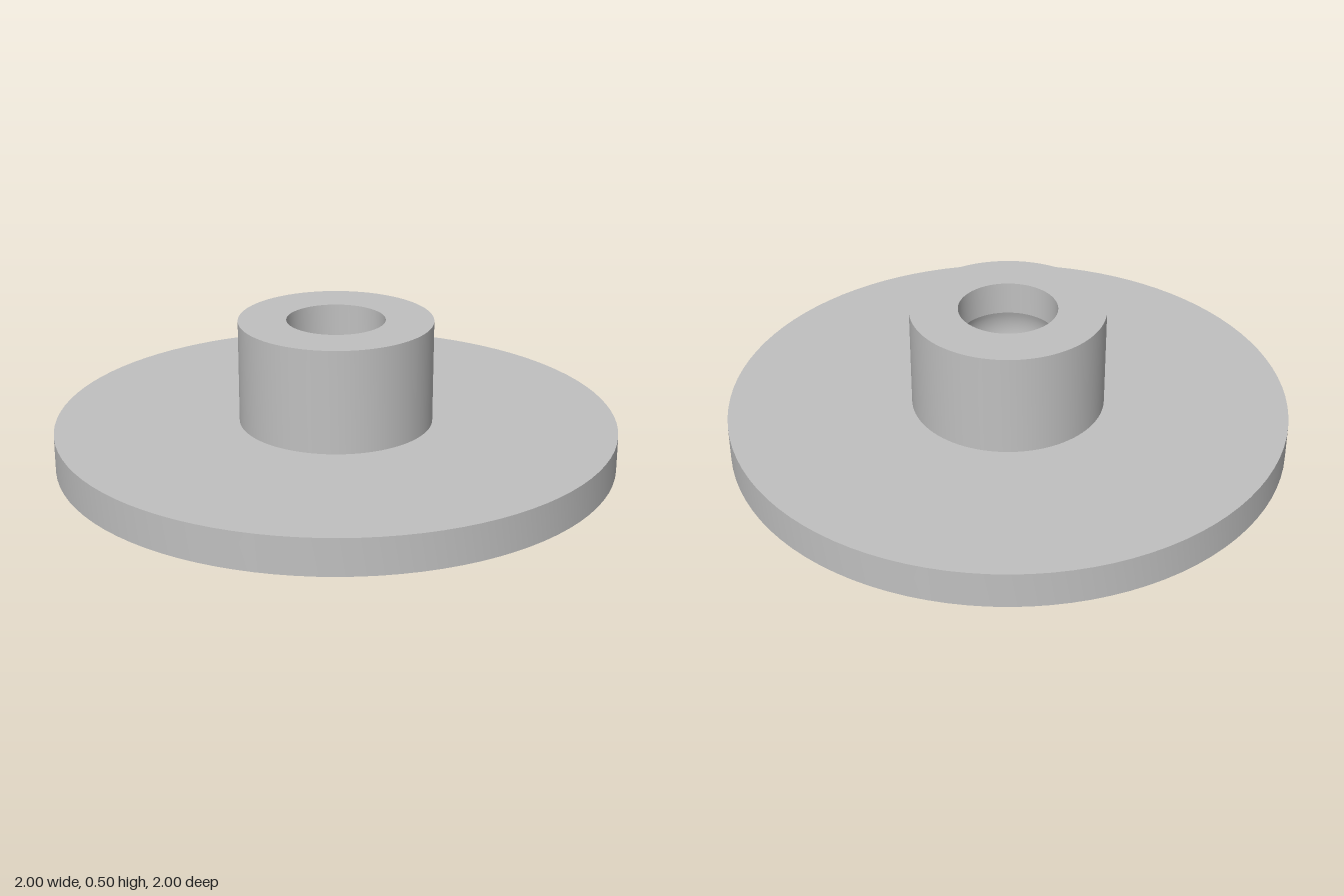
import * as THREE from 'three';
import { toCreasedNormals } from 'three/addons/utils/BufferGeometryUtils.js';

const SEGMENTS = 96;
const PLATE_RADIUS = 1, PLATE_TOP = 0.13;
const HUB_RADIUS = 0.345, HUB_TOP = 0.5;
const BORE_RADIUS = 0.175, BORE_BOTTOM = 0.38;
const SOCKET_RADIUS = 0.19;

// Turned part from [radius, height] pairs, listed up the outside
function turned(name, profile, material) {
  const points = profile.map(([r, y]) => new THREE.Vector2(r, y));
  const geometry = toCreasedNormals(new THREE.LatheGeometry(points, SEGMENTS), 0.35);
  const mesh = new THREE.Mesh(geometry, material);
  mesh.name = name;
  return mesh;
}

export function createModel() {
  const group = new THREE.Group();
  group.name = 'flangedHub';
  const grey = new THREE.MeshStandardMaterial({ color: 0xc0c0c0 });
  grey.name = 'plain grey';

  // Round base plate, open where the hub joins it
  group.add(turned('basePlate', [
    [0, 0], [PLATE_RADIUS, 0], [PLATE_RADIUS, PLATE_TOP], [HUB_RADIUS, PLATE_TOP],
  ], grey));

  // Hub wall, top ring and straight bore
  const hub = [
    [HUB_RADIUS, PLATE_TOP], [HUB_RADIUS, HUB_TOP],
    [BORE_RADIUS, HUB_TOP], [BORE_RADIUS, BORE_BOTTOM],
  ];
  group.add(turned('hub', hub, grey));

  // Rounded socket at the end of the bore
  const start = Math.acos(BORE_RADIUS / SOCKET_RADIUS);
  const centreY = BORE_BOTTOM - SOCKET_RADIUS * Math.sin(start);
  const socket = [];
  const steps = 24;
  for (let i = 0; i <= steps; i++) {
    const a = THREE.MathUtils.lerp(start, -Math.PI / 2, i / steps);
    socket.push([i === steps ? 0 : SOCKET_RADIUS * Math.cos(a), centreY + SOCKET_RADIUS * Math.sin(a)]);
  }
  group.add(turned('socket', socket, grey));

  return group;
}
